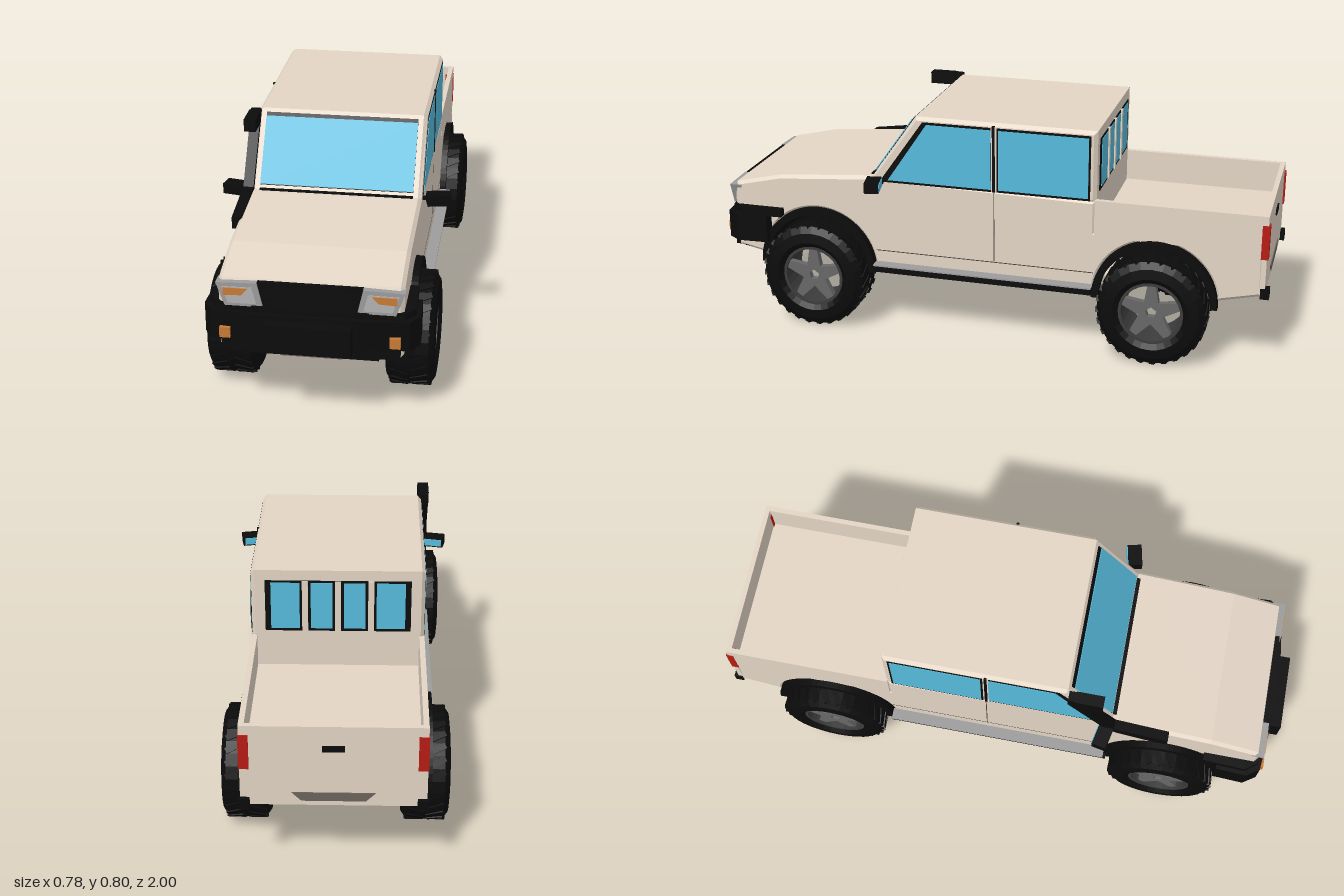
import * as THREE from 'three';
import { mergeGeometries } from 'three/addons/utils/BufferGeometryUtils.js';

const mat = (color, extra = {}) => new THREE.MeshStandardMaterial({ color, flatShading: true, ...extra });
const paint = mat(0xe3d5c5), black = mat(0x0b0b0b), glass = mat(0x56bbdc), grey = mat(0x9c9c9c);
const alloy = mat(0x686868), amber = mat(0xc87a35), red = mat(0xb81c14), seam = mat(0x4a443e);
const taupe = mat(0x6c645d), liner = mat(0x0b0b0b, { side: THREE.DoubleSide });

const AXLES = [0.607, -0.615], ARCH_Y = 0.21, ARCH_R = 0.212;

export function createModel() {
  const model = new THREE.Group();
  const add = (name, geo, material, parent = model) => {
    const m = new THREE.Mesh(geo, material);
    m.name = name;
    parent.add(m);
    return m;
  };
  // Box given by its limits
  const box = (name, material, x0, x1, y0, y1, z0, z1, parent) =>
    add(name, new THREE.BoxGeometry(x1 - x0, y1 - y0, z1 - z0)
      .translate((x0 + x1) / 2, (y0 + y1) / 2, (z0 + z1) / 2), material, parent);
  const poly = pts => new THREE.Shape(pts.map(p => new THREE.Vector2(...p)));
  const extrude = (shape, depth, bevel = 0) => new THREE.ExtrudeGeometry(shape, {
    depth: depth - 2 * bevel, bevelEnabled: bevel > 0, bevelSize: bevel, bevelThickness: bevel,
    bevelOffset: -bevel, bevelSegments: 1, curveSegments: 14,
  }).translate(0, 0, bevel);
  // Extrusions of (z, y), (x, z) and (x, y) outlines
  const sideways = (shape, x0, x1, bevel) => extrude(shape, x1 - x0, bevel).rotateY(-Math.PI / 2).translate(x1, 0, 0);
  const upright = (shape, y0, y1) => extrude(shape, y1 - y0).rotateX(Math.PI / 2).translate(0, y1, 0);
  const forward = (shape, z0, z1) => extrude(shape, z1 - z0).translate(0, 0, z0);
  // Side panel outside the body on side s
  const flank = (name, pts, material, s, inner, outer) =>
    add(name, sideways(poly(pts), s > 0 ? inner : -outer, s > 0 ? outer : -inner), material);

  // Lower body with hood, bed floor and wheel arches
  const body = poly([[0.925, 0.25], [0.93, 0.47], [0.92, 0.495], [0.75, 0.535], [0.42, 0.562],
    [-0.405, 0.55], [-0.405, 0.44], [-0.975, 0.44], [-0.98, 0.265], [-0.83, 0.23]]);
  body.absarc(AXLES[1], ARCH_Y, ARCH_R, Math.PI - 0.09, 0.09, true);
  body.absarc(AXLES[0], ARCH_Y, ARCH_R, Math.PI - 0.09, 0.09, true);
  add('body', sideways(body, -0.29, 0.29, 0.012), paint);
  box('floorPan', paint, -0.17, 0.17, 0.227, 0.235, -0.85, 0.85);

  // Cab
  add('cab', sideways(poly([[0.415, 0.54], [0.235, 0.794], [-0.405, 0.794], [-0.405, 0.54]]), -0.289, 0.289, 0.012), paint);

  // Cargo bed walls and tailgate
  for (const s of [-1, 1]) box('bedWall', paint, s * 0.281 - 0.009, s * 0.281 + 0.009, 0.42, 0.552, -0.98, -0.4);
  add('tailgate', sideways(poly([[-0.968, 0.42], [-0.968, 0.552], [-0.985, 0.552], [-0.985, 0.268], [-0.968, 0.264]]), -0.29, 0.29), paint);
  box('tailgateHandle', black, -0.035, 0.035, 0.465, 0.485, -0.99, -0.98);
  add('plateRecess', forward(poly([[-0.13, 0.315], [0.13, 0.315], [0.1, 0.285], [-0.1, 0.285]]), -0.988, -0.98), taupe);

  // Windscreen
  const screen = new THREE.Group();
  screen.name = 'windscreen';
  screen.position.set(0, 0.674, 0.32);
  screen.rotation.x = -Math.atan2(0.18, 0.254);
  model.add(screen);
  box('windscreenSeal', black, -0.26, 0.26, -0.122, 0.132, -0.006, 0.004, screen);
  box('windscreenGlass', glass, -0.26, 0.26, -0.12, 0.118, -0.006, 0.007, screen);
  box('cowl', black, -0.26, 0.26, 0.556, 0.566, 0.396, 0.41);

  // Rear cab window with four panes
  box('rearWindowSeal', black, -0.243, 0.243, 0.572, 0.757, -0.408, -0.4);
  for (const x of [-0.11, 0, 0.11]) box('rearWindowBar', paint, x - 0.01, x + 0.01, 0.572, 0.757, -0.413, -0.4);
  for (const [x, w] of [[-0.176, 0.096], [-0.055, 0.072], [0.055, 0.072], [0.176, 0.096]])
    box('rearWindowPane', glass, x - w / 2, x + w / 2, 0.582, 0.75, -0.41, -0.4);

  for (const s of [-1, 1]) {
    // Side windows, door pillar and seams
    flank('frontWindowSeal', [[0.37, 0.548], [0.208, 0.778], [-0.036, 0.778], [-0.036, 0.548]], black, s, 0.27, 0.2905);
    flank('frontWindow', [[0.345, 0.556], [0.2, 0.77], [-0.03, 0.77], [-0.03, 0.556]].map(([z, y]) => [z - 0.006, y]), glass, s, 0.27, 0.292);
    flank('rearSideWindowSeal', [[-0.056, 0.548], [-0.056, 0.778], [-0.384, 0.778], [-0.384, 0.548]], black, s, 0.27, 0.2905);
    flank('rearSideWindow', [[-0.063, 0.556], [-0.063, 0.77], [-0.377, 0.77], [-0.377, 0.556]], glass, s, 0.27, 0.292);
    flank('doorPillar', [[-0.041, 0.548], [-0.041, 0.785], [-0.05, 0.785], [-0.05, 0.548]], black, s, 0.27, 0.294);
    flank('doorSeam', [[-0.045, 0.29], [-0.045, 0.548], [-0.048, 0.548], [-0.048, 0.29]], seam, s, 0.27, 0.2905);
    flank('sillCrease', [[0.39, 0.286], [0.39, 0.289], [-0.4, 0.289], [-0.4, 0.286]], seam, s, 0.27, 0.2905);

    // Side step
    box('sideStepBase', black, s * 0.3 - 0.025, s * 0.3 + 0.025, 0.217, 0.24, -0.4, 0.4);
    box('sideStepTread', grey, s * 0.31 - 0.02, s * 0.31 + 0.02, 0.24, 0.245, -0.4, 0.39);

    // Mirror
    const mirror = new THREE.Group();
    mirror.name = 'mirror';
    mirror.position.set(s * 0.345, 0.553, 0.375);
    mirror.rotation.y = s * 0.2;
    model.add(mirror);
    box('mirrorHousing', black, -0.04, 0.04, -0.018, 0.018, -0.025, 0.025, mirror);
    box('mirrorGlass', glass, -0.034, 0.034, -0.013, 0.013, -0.028, -0.02, mirror);
    box('mirrorArm', black, s * 0.298 - 0.016, s * 0.298 + 0.016, 0.542, 0.552, 0.355, 0.37);

    // Headlight with amber indicator
    const lamp = pts => poly(pts.map(([x, y]) => [s * x, y]));
    add('headlight', forward(lamp([[0.147, 0.408], [0.165, 0.489], [0.294, 0.485], [0.267, 0.408]]), 0.9, 0.943), grey);
    add('headlightLens', forward(lamp([[0.166, 0.418], [0.18, 0.474], [0.276, 0.473], [0.256, 0.418]]), 0.93, 0.945), mat(0xb2b2b2));
    add('indicator', forward(lamp([[0.213, 0.447], [0.193, 0.47], [0.271, 0.47], [0.271, 0.444]]), 0.93, 0.947), amber);
    box('fogLight', amber, s * 0.266 - 0.017, s * 0.266 + 0.017, 0.303, 0.338, 0.94, 0.962);

    // Tail light and rear corner guard
    box('tailLight', red, s * 0.276 - 0.016, s * 0.276 + 0.016, 0.4, 0.52, -0.99, -0.965);
    box('rearCornerGuard', black, s * 0.277 - 0.017, s * 0.277 + 0.017, 0.258, 0.295, -1, -0.97);
  }

  // Grille, bumper tiers and winch mount
  add('grille', forward(poly([[-0.165, 0.49], [0.165, 0.49], [0.147, 0.4], [0.29, 0.4], [0.28, 0.25], [-0.28, 0.25], [-0.29, 0.4], [-0.147, 0.4]]), 0.9, 0.938), black);
  for (let i = 0; i < 3; i++) box('grilleSlat', black, -0.145, 0.145, 0.41 + i * 0.024, 0.421 + i * 0.024, 0.93, 0.945);
  const wrap = half => poly([...half, ...half.map(([x, z]) => [-x, z]).reverse()]);
  add('bumper', upright(wrap([[0.285, 0.88], [0.285, 0.79], [0.335, 0.79], [0.34, 0.9], [0.31, 0.945], [0.14, 0.962]]), 0.29, 0.39), black);
  add('bumperTop', upright(wrap([[0.28, 0.88], [0.28, 0.74], [0.318, 0.74], [0.325, 0.89], [0.295, 0.93], [0.14, 0.948]]), 0.385, 0.412), black);
  add('bumperLower', upright(wrap([[0.28, 0.82], [0.285, 0.9], [0.25, 0.93], [0.14, 0.94]]), 0.248, 0.29), black);
  box('winchMount', black, -0.135, 0.135, 0.28, 0.375, 0.93, 1);
  box('frontCrossMember', black, -0.21, 0.21, 0.22, 0.25, 0.8, 0.9);
  box('skidPlate', taupe, -0.095, 0.095, 0.22, 0.245, 0.8, 0.905);

  // Snorkel on the right-hand windscreen pillar
  add('snorkelPipe', sideways(poly([[0.6, 0.505], [0.6, 0.545], [0.41, 0.572], [0.272, 0.765], [0.272, 0.794],
    [0.24, 0.794], [0.24, 0.755], [0.385, 0.55], [0.42, 0.535], [0.56, 0.505]]), -0.315, -0.28), black);
  box('snorkelHead', black, -0.318, -0.278, 0.752, 0.795, 0.265, 0.36);

  // Wheel parts, shared by all four wheels
  const tyre = new THREE.LatheGeometry([[0.108, -0.066], [0.13, -0.082], [0.165, -0.078], [0.187, -0.062], [0.189, 0],
    [0.187, 0.062], [0.165, 0.078], [0.13, 0.082], [0.108, 0.066], [0.108, -0.066]]
    .map(p => new THREE.Vector2(...p)), 28).rotateZ(-Math.PI / 2);
  const lugs = [];
  for (let i = 0; i < 28; i++) for (const s of [-1, 1])
    lugs.push(new THREE.BoxGeometry(0.062, 0.012, 0.02).rotateY(s * 0.45)
      .translate(s * 0.035, 0.185, 0).rotateX((i + (s > 0 ? 0.5 : 0)) * Math.PI / 14));
  const tread = mergeGeometries(lugs);
  const barrel = new THREE.LatheGeometry([[0.1, -0.066], [0.11, -0.066], [0.112, 0.07], [0.102, 0.07], [0.1, -0.066]]
    .map(p => new THREE.Vector2(...p)), 28).rotateZ(-Math.PI / 2);
  const star = [];
  for (let i = 0; i < 5; i++) for (const [r, a] of [[0.104, -0.13], [0.104, 0.13], [0.043, Math.PI / 5]]) {
    const t = Math.PI / 2 + i * Math.PI * 0.4 + a;
    star.push([r * Math.cos(t), r * Math.sin(t)]);
  }
  const starShape = poly(star);
  starShape.holes.push(poly([0, 1, 2, 3, 4].map(i => {
    const t = Math.PI / 2 + i * Math.PI * 0.4;
    return [0.02 * Math.cos(t), 0.02 * Math.sin(t)];
  })));
  const spokes = extrude(starShape, 0.024).rotateY(Math.PI / 2).translate(0.036, 0, 0);

  for (const z of AXLES) for (const s of [-1, 1]) {
    const wheel = new THREE.Group();
    wheel.name = 'wheel';
    wheel.position.set(s * 0.2925, 0.191, z);
    wheel.rotation.y = s > 0 ? 0 : Math.PI;
    model.add(wheel);
    add('tyre', tyre, black, wheel);
    add('tread', tread, black, wheel);
    add('rim', barrel, mat(0x3c3c3c), wheel);
    add('spokes', spokes, alloy, wheel);

    // Arch flare and wheel well lining
    const flare = new THREE.Shape();
    flare.absarc(z, ARCH_Y, 0.217, -0.02, Math.PI + 0.02, false);
    flare.absarc(z, ARCH_Y, 0.192, Math.PI + 0.02, -0.02, true);
    add('archFlare', sideways(flare, s > 0 ? 0.275 : -0.312, s > 0 ? 0.312 : -0.275), black);
    const well = new THREE.CylinderGeometry(0.209, 0.209, 0.28, 20, 1, true, 0, Math.PI).rotateZ(Math.PI / 2);
    add('wheelWell', well.translate(s * 0.14, ARCH_Y, z), liner);
  }
  return model;
}
